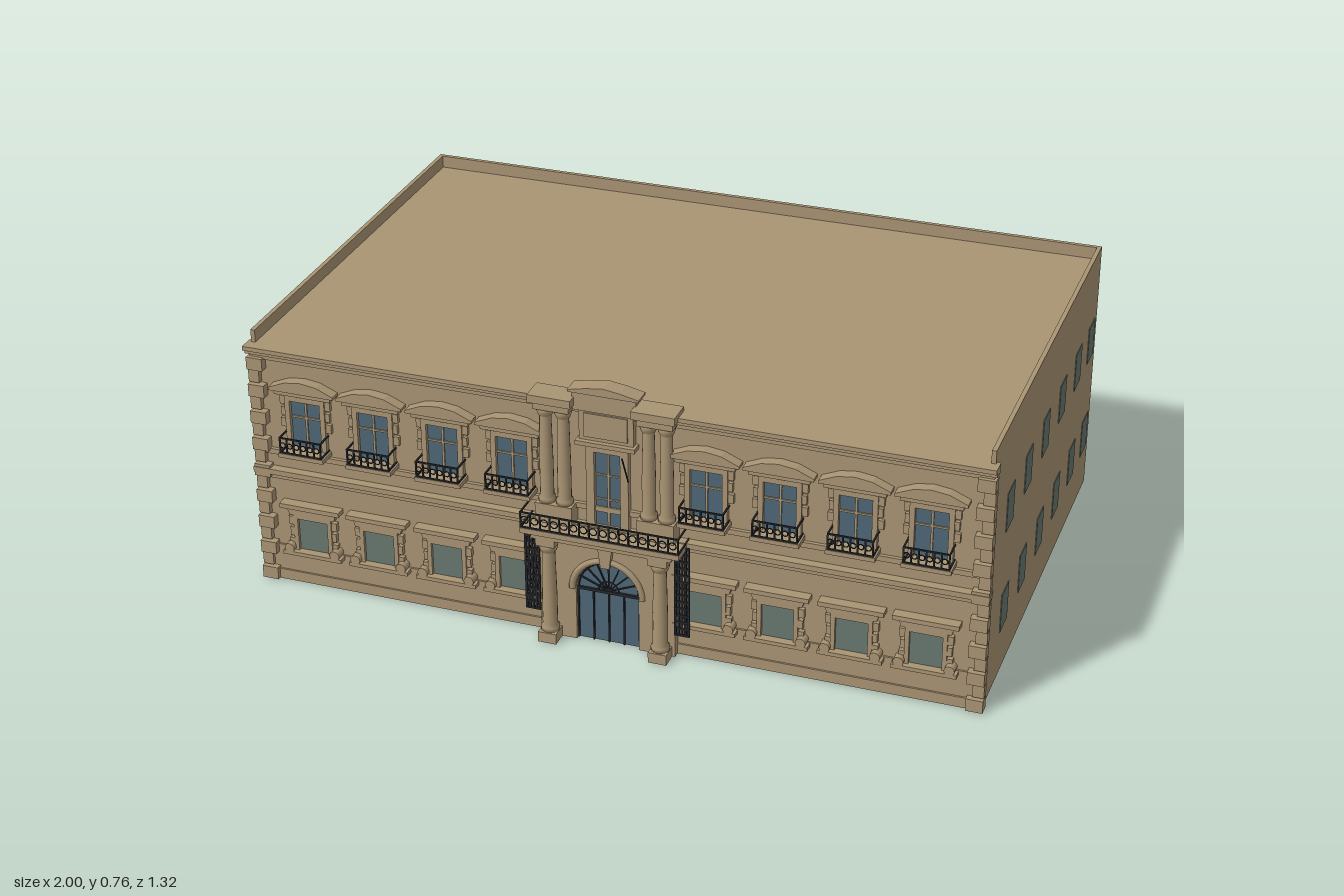
import * as THREE from 'three';

const mat = (name, color, double) => {
  const m = new THREE.MeshStandardMaterial({ color });
  m.name = name;
  if (double) m.side = THREE.DoubleSide;
  return m;
};

export function createModel() {
  const root = new THREE.Group();
  root.name = 'palace';
  const stone = mat('sandstone', 0xa99473);
  const blueGlass = mat('blue glass', 0x4d6675);
  const greyGlass = mat('grey glass', 0x68766f);
  const iron = mat('wrought iron', 0x25272c);

  const add = (parent, name, geo, material, x = 0, y = 0, z = 0) => {
    const m = new THREE.Mesh(geo, material);
    m.name = name;
    m.position.set(x, y, z);
    parent.add(m);
    return m;
  };
  // Box given by its extents
  const box = (p, name, x0, x1, y0, y1, z0, z1, m = stone) =>
    add(p, name, new THREE.BoxGeometry(x1 - x0, y1 - y0, z1 - z0), m, (x0 + x1) / 2, (y0 + y1) / 2, (z0 + z1) / 2);
  const group = (name, x = 0) => {
    const g = new THREE.Group();
    g.name = name;
    g.position.x = x;
    root.add(g);
    return g;
  };
  // Flat outline pushed forward from z0 to z1
  const slab = (p, name, pts, z0, z1) => add(p, name,
    new THREE.ExtrudeGeometry(new THREE.Shape(pts.map(a => new THREE.Vector2(...a))),
      { depth: z1 - z0, bevelEnabled: false }), stone, 0, 0, z0);
  // Rectangular frame around an opening
  const frame = (p, hw, y0, y1, t, z1) => {
    for (const s of [-1, 1]) {
      const a = s * hw, b = s * (hw + t);
      box(p, 'windowJamb', Math.min(a, b), Math.max(a, b), y0, y1, 0.565, z1);
    }
    box(p, 'windowHead', -hw - t, hw + t, y1, y1 + t, 0.565, z1);
  };
  // Iron railing with balusters and scroll rings
  const railing = (p, x0, x1, y0, y1, z0, z1, n) => {
    const t = 0.004;
    for (const y of [y0, y1 - t]) {
      box(p, 'frontRail', x0, x1, y, y + t, z1 - t, z1, iron);
      for (const x of [x0, x1 - t]) box(p, 'sideRail', x, x + t, y, y + t, z0, z1, iron);
    }
    const r = Math.min((x1 - x0) / n / 2, (y1 - y0) / 2) * 0.75;
    for (let i = 0; i <= n; i++) {
      const x = x0 + (x1 - x0 - t) * i / n;
      box(p, 'baluster', x, x + t, y0, y1, z1 - t, z1, iron);
      if (i < n) add(p, 'railScroll', new THREE.TorusGeometry(r, 0.0018, 4, 10), iron,
        x + (x1 - x0) / n / 2, (y0 + y1) / 2, z1 - 0.002);
    }
  };

  // Main block with parapets on the sides and back
  const body = group('mainBlock');
  box(body, 'walls', -0.99, 0.99, 0, 0.705, -0.66, 0.57);
  box(body, 'backParapet', -0.99, 0.99, 0.705, 0.74, -0.66, -0.648);
  for (const s of [-1, 1])
    box(body, 'sideParapet', s * 0.984 - 0.006, s * 0.984 + 0.006, 0.705, 0.74, -0.648, 0.57);

  // Plain windows of both side walls
  for (const s of [-1, 1]) for (const z of [0.37, 0.17, -0.03, -0.23, -0.425, -0.595])
    for (const y of [0.185, 0.48])
      box(body, 'sideWindow', s * 0.99 - 0.002, s * 0.99 + 0.002, y - 0.055, y + 0.055, z - 0.038, z + 0.038, greyGlass);

  // Horizontal mouldings: y0, y1, front z
  const facade = group('facadeMouldings');
  for (const [y0, y1, z] of [[0, 0.03, 0.58], [0.03, 0.105, 0.575], [0.315, 0.33, 0.585], [0.33, 0.345, 0.595],
    [0.385, 0.40, 0.58], [0.665, 0.68, 0.582], [0.68, 0.693, 0.592], [0.693, 0.705, 0.603]])
    box(facade, 'moulding', z > 0.59 ? -1 : -0.992, z > 0.59 ? 1 : 0.992, y0, y1, 0.56, z);

  // Corner quoins
  for (const s of [-1, 1]) for (let i = 0; i < 17; i++) {
    const w = i % 2 ? 0.03 : 0.045, y = i * 0.0395;
    const a = s * 0.998, b = s * (0.998 - w);
    box(facade, 'quoin', Math.min(a, b), Math.max(a, b), y + 0.002, y + 0.0375, 0.562, i % 2 ? 0.585 : 0.593);
  }

  // Eight window bays
  for (const s of [-1, 1]) for (const bx of [0.262, 0.455, 0.65, 0.843]) {
    const g = group('windowBay', s * bx);
    // Upper window
    box(g, 'upperGlass', -0.043, 0.043, 0.405, 0.555, 0.569, 0.573, blueGlass);
    box(g, 'mullion', -0.003, 0.003, 0.405, 0.555, 0.57, 0.577);
    box(g, 'transom', -0.043, 0.043, 0.505, 0.51, 0.57, 0.577);
    frame(g, 0.043, 0.405, 0.555, 0.014, 0.584);
    box(g, 'lintel', -0.08, 0.08, 0.575, 0.588, 0.565, 0.594);
    slab(g, 'pediment', [[-0.092, 0.588], [0.092, 0.588], [0.092, 0.596], [0.045, 0.616], [0, 0.622], [-0.045, 0.616], [-0.092, 0.596]], 0.565, 0.601);
    // Small balcony
    box(g, 'balconySlab', -0.064, 0.064, 0.405, 0.417, 0.565, 0.624);
    railing(g, -0.06, 0.06, 0.418, 0.465, 0.57, 0.624, 6);
    // Lower window
    box(g, 'lowerGlass', -0.043, 0.043, 0.1, 0.205, 0.573, 0.577, greyGlass);
    frame(g, 0.043, 0.1, 0.2, 0.012, 0.586);
    box(g, 'sill', -0.085, 0.085, 0.093, 0.104, 0.565, 0.6);
    slab(g, 'keystoneLintel', [[-0.065, 0.212], [0.065, 0.212], [0.072, 0.235], [-0.072, 0.235]], 0.565, 0.588);
    box(g, 'lowerCornice', -0.086, 0.086, 0.235, 0.248, 0.565, 0.6);
    for (const k of [-1, 1]) {
      // Toothed stones beside the windows
      for (let i = 0; i < 3; i++) {
        const w = i % 2 ? 0.014 : 0.02;
        box(g, 'lowerBlock', k * 0.06 - w / 2, k * 0.06 + w / 2, 0.113 + i * 0.033, 0.138 + i * 0.033, 0.565, 0.583);
        box(g, 'upperBlock', k * 0.062 - w / 2, k * 0.062 + w / 2, 0.475 + i * 0.033, 0.5 + i * 0.033, 0.565, 0.58);
      }
      const v = add(g, 'sillScroll', new THREE.CylinderGeometry(0.014, 0.014, 0.03, 12), stone, k * 0.066, 0.113, 0.585);
      v.rotation.x = Math.PI / 2;
    }
  }

  // Arched doorway
  const door = group('doorway');
  const wall = new THREE.Shape();
  wall.moveTo(-0.185, 0).lineTo(-0.086, 0).lineTo(-0.086, 0.155);
  wall.absarc(0, 0.155, 0.086, Math.PI, 0, true);
  wall.lineTo(0.086, 0).lineTo(0.185, 0).lineTo(0.185, 0.315).lineTo(-0.185, 0.315);
  add(door, 'archWall', new THREE.ExtrudeGeometry(wall, { depth: 0.033, bevelEnabled: false, curveSegments: 24 }), stone, 0, 0, 0.565);
  add(door, 'archMoulding', new THREE.TorusGeometry(0.096, 0.009, 6, 24, Math.PI), stone, 0, 0.155, 0.6);
  const pane = new THREE.Shape();
  pane.moveTo(-0.086, 0).lineTo(0.086, 0).lineTo(0.086, 0.155).absarc(0, 0.155, 0.086, 0, Math.PI, false);
  add(door, 'doorGlass', new THREE.ShapeGeometry(pane, 24), blueGlass, 0, 0, 0.584);
  box(door, 'doorTransom', -0.086, 0.086, 0.148, 0.156, 0.583, 0.59, iron);
  for (const x of [-0.084, -0.042, 0, 0.042, 0.084])
    box(door, 'doorBar', x - 0.002, x + 0.002, 0, 0.15, 0.583, 0.589, iron);
  for (let i = 1; i < 8; i++) {
    const a = i * Math.PI / 8;
    const b = add(door, 'fanBar', new THREE.BoxGeometry(0.086, 0.003, 0.005), iron,
      Math.cos(a) * 0.043, 0.155 + Math.sin(a) * 0.043, 0.586);
    b.rotation.z = a;
  }
  for (const r of [0.028, 0.082])
    add(door, 'fanRing', new THREE.TorusGeometry(r, 0.002, 4, 20, Math.PI), iron, 0, 0.155, 0.587);
  slab(door, 'keystone', [[-0.012, 0.238], [0.012, 0.238], [0.02, 0.3], [-0.02, 0.3]], 0.565, 0.614);

  // Columns turned from a profile
  const column = (p, x, y0, y1, r, z) => {
    const h = y1 - y0;
    const pts = [[0, 0], [r * 1.25, 0], [r * 1.25, 0.012], [r, 0.018], [r, h * 0.4], [r * 0.85, h - 0.025],
      [r * 1.05, h - 0.02], [r * 1.25, h - 0.01], [r * 1.25, h], [0, h]].map(a => new THREE.Vector2(...a));
    add(p, 'column', new THREE.LatheGeometry(pts, 16), stone, x, y0, z);
  };
  const portico = group('portico');
  for (const s of [-1, 1]) {
    box(portico, 'columnPlinth', s * 0.152 - 0.025, s * 0.152 + 0.025, 0, 0.03, 0.565, 0.645);
    column(portico, s * 0.152, 0.03, 0.29, 0.02, 0.618);
    box(portico, 'columnBlock', s * 0.152 - 0.026, s * 0.152 + 0.026, 0.29, 0.315, 0.565, 0.643);
    // Iron lattice beside the doorway
    for (let i = 0; i < 5; i++) {
      const x = s * 0.205 - 0.018 + i * 0.009;
      box(portico, 'latticeBar', x - 0.003, x + 0.003, 0.07, 0.335, 0.598, 0.603, iron);
    }
    for (let i = 0; i < 14; i++)
      box(portico, 'latticeRung', s * 0.205 - 0.02, s * 0.205 + 0.02, 0.07 + i * 0.02, 0.075 + i * 0.02, 0.598, 0.604, iron);
    // Paired upper columns with their pedestal and entablature
    box(portico, 'upperPedestal', s * 0.138 - 0.05, s * 0.138 + 0.05, 0.345, 0.4, 0.565, 0.615);
    for (const x of [0.114, 0.162]) column(portico, s * x, 0.4, 0.672, 0.018, 0.592);
    box(portico, 'upperArchitrave', s * 0.138 - 0.048, s * 0.138 + 0.048, 0.672, 0.695, 0.565, 0.617);
    box(portico, 'upperCornice', s * 0.138 - 0.058, s * 0.138 + 0.058, 0.695, 0.717, 0.56, 0.63);
  }
  box(portico, 'entablature', -0.19, 0.19, 0.31, 0.327, 0.56, 0.643);
  box(portico, 'balconyFloor', -0.215, 0.215, 0.327, 0.342, 0.56, 0.655);
  railing(portico, -0.215, 0.215, 0.343, 0.39, 0.57, 0.655, 16);

  // Central upper window, plaque and crest
  const centre = group('centralBay');
  box(centre, 'centreGlass', -0.035, 0.035, 0.345, 0.56, 0.571, 0.575, blueGlass);
  box(centre, 'centreMullion', -0.003, 0.003, 0.345, 0.56, 0.572, 0.579);
  for (const y of [0.42, 0.49]) box(centre, 'centreTransom', -0.035, 0.035, y, y + 0.004, 0.572, 0.579);
  frame(centre, 0.035, 0.345, 0.56, 0.022, 0.588);
  box(centre, 'plaqueLedge', -0.08, 0.08, 0.582, 0.594, 0.565, 0.603);
  box(centre, 'plaque', -0.073, 0.073, 0.594, 0.682, 0.565, 0.59);
  box(centre, 'plaquePanel', -0.058, 0.058, 0.605, 0.672, 0.565, 0.595);
  box(centre, 'crestBase', -0.085, 0.085, 0.682, 0.735, 0.56, 0.603);
  slab(centre, 'crest', [[-0.095, 0.733], [0.095, 0.733], [0.095, 0.739], [0.045, 0.75], [0, 0.756], [-0.045, 0.75], [-0.095, 0.739]], 0.56, 0.61);
  const pole = add(centre, 'flagPole', new THREE.CylinderGeometry(0.002, 0.002, 0.1, 6), iron, 0.06, 0.54, 0.617);
  pole.rotation.x = 0.45;

  return root;
}
